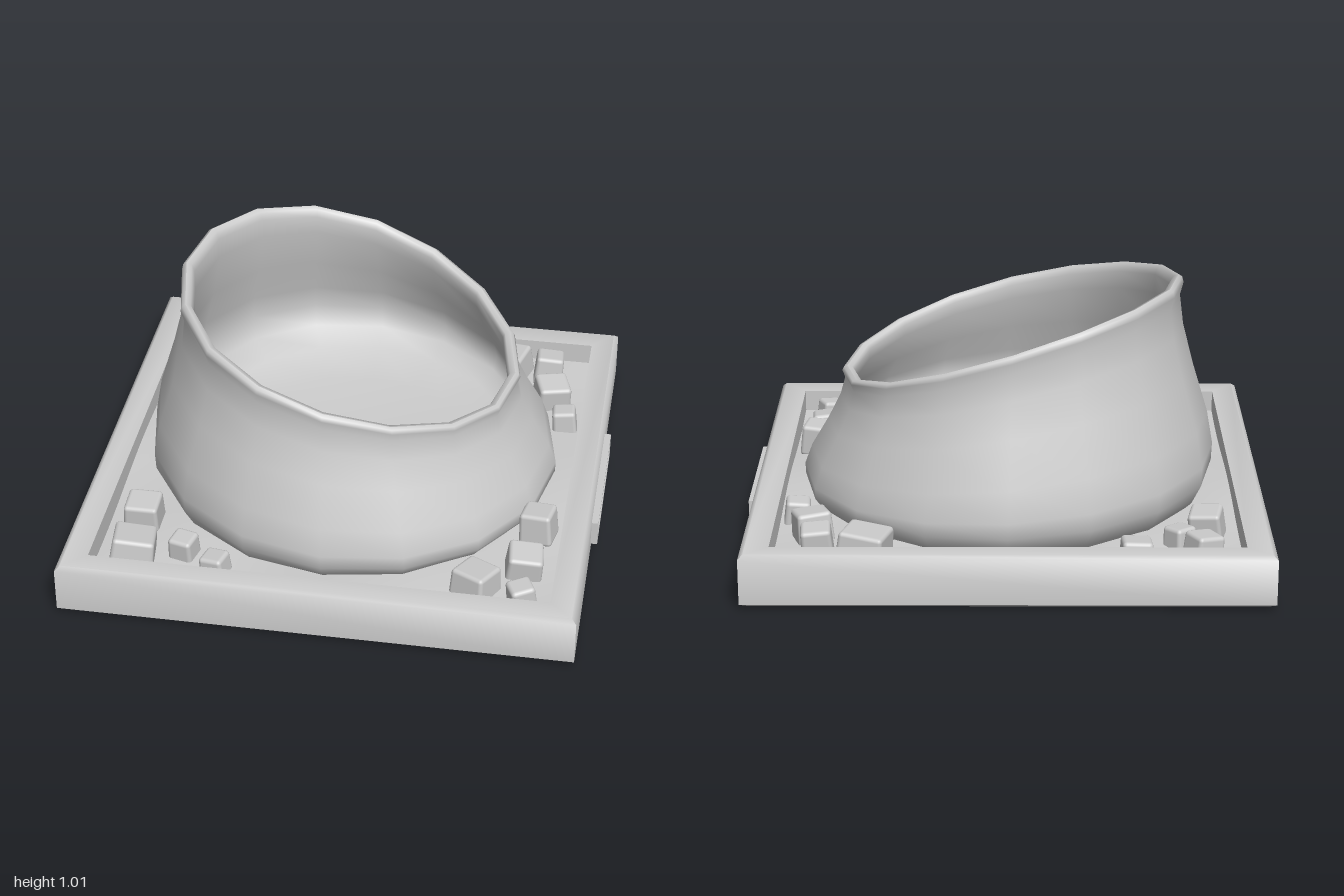
import * as THREE from 'three';
import { mergeVertices, toCreasedNormals } from 'three/addons/utils/BufferGeometryUtils.js';
import { RoundedBoxGeometry } from 'three/addons/geometries/RoundedBoxGeometry.js';

const CX = -0.014; // middle of the base; the plate on the side makes up the rest

export function createModel() {
  const model = new THREE.Group();
  const material = new THREE.MeshStandardMaterial({ color: 0xcccccc });

  function add(name, geometry, x = 0, y = 0, z = 0, parent = model) {
    const mesh = new THREE.Mesh(geometry, material);
    mesh.name = name;
    mesh.position.set(x, y, z);
    parent.add(mesh);
    return mesh;
  }

  const toPoints = (profile) => profile.map(([r, y]) => new THREE.Vector2(r, y));

  // Base: a four-sided lathe gives the slab, soft outer edges and raised border in one piece
  const base = new THREE.LatheGeometry(toPoints([
    [0, 0], [0.88, 0], [0.955, 0.004], [0.986, 0.022], [0.986, 0.198], [0.968, 0.214],
    [0.88, 0.208], [0.88, 0.06],
  ]), 4, Math.PI / 4);
  base.scale(Math.SQRT2, 1, Math.SQRT2);
  add('base', toCreasedNormals(base, 0.9), CX, 0, 0);

  // Ground inside the border, rising gently towards the pot
  const ground = new THREE.PlaneGeometry(1.762, 1.762, 24, 24).rotateX(-Math.PI / 2);
  const gp = ground.attributes.position;
  for (let i = 0; i < gp.count; i++) {
    const x = gp.getX(i), z = gp.getZ(i);
    const rise = 1 - THREE.MathUtils.smoothstep(Math.hypot(x, z), 0.8, 1.2);
    gp.setY(i, 0.115 + 0.015 * rise + 0.01 * Math.sin(7 * x + 2) * Math.cos(6 * z));
  }
  ground.computeVertexNormals();
  add('ground', ground, CX, 0, 0);

  // Pot: profiles of [radius, t], where t runs from a flat level up to the slanted, wavy rim
  const rimHeight = (x, z) =>
    0.817 - 0.285 * x - 0.06 * z + 0.04 * z * z - 0.02 * x * x + 0.05 * x * z;
  function slantedLathe(profile, low) {
    const g = new THREE.LatheGeometry(toPoints(profile), 16);
    const p = g.attributes.position;
    for (let i = 0; i < p.count; i++) {
      const t = p.getY(i);
      // the slant is taken at the rim radius so that it does not grow with the belly
      const r = Math.hypot(p.getX(i), p.getZ(i)) || 1;
      const top = rimHeight(p.getX(i) * 0.66 / r, p.getZ(i) * 0.66 / r);
      p.setY(i, low + t * (top - low));
      p.setX(i, p.getX(i) - 0.01 - 0.018 * t);
      p.setZ(i, p.getZ(i) - 0.006);
    }
    // smooth normals across the seam
    g.deleteAttribute('uv');
    g.deleteAttribute('normal');
    const merged = mergeVertices(g, 1e-4);
    merged.computeVertexNormals();
    return merged;
  }
  const pot = new THREE.Group();
  pot.name = 'pot';
  model.add(pot);
  add('potOuterWall', slantedLathe([
    [0.71, 0], [0.775, 0.07], [0.81, 0.15], [0.812, 0.23], [0.785, 0.38], [0.72, 0.6],
    [0.675, 0.78], [0.658, 0.91], [0.67, 0.965], [0.664, 0.99], [0.65, 1],
  ], 0.09), 0, 0, 0, pot);
  add('potInnerBowl', slantedLathe([
    [0.65, 1], [0.63, 0.99], [0.62, 0.95], [0.622, 0.85], [0.66, 0.62], [0.71, 0.42],
    [0.725, 0.29], [0.705, 0.17], [0.63, 0.08], [0.45, 0.025], [0, 0],
  ], 0.21), 0, 0, 0, pot);

  // Loose stones: x, z, size, turn in degrees, top height
  const stones = [
    [-0.74, -0.79, 0.12, 30, 0.23], [-0.66, -0.67, 0.10, 40, 0.21],
    [-0.77, -0.53, 0.13, -12, 0.225], [-0.49, -0.81, 0.12, 3, 0.215],
    [0.52, -0.75, 0.18, -15, 0.23], [0.70, -0.74, 0.12, 4, 0.24],
    [0.73, -0.56, 0.14, 18, 0.23], [0.80, -0.39, 0.10, 4, 0.21],
    [0.77, 0.37, 0.13, -10, 0.25], [0.74, 0.59, 0.14, 5, 0.22],
    [0.57, 0.74, 0.15, -28, 0.225], [0.75, 0.78, 0.10, 25, 0.205],
    [-0.76, 0.53, 0.14, 0, 0.24], [-0.75, 0.75, 0.17, 8, 0.235],
    [-0.56, 0.71, 0.10, -15, 0.22], [-0.42, 0.79, 0.10, -15, 0.205],
  ];
  const stoneGroup = new THREE.Group();
  stoneGroup.name = 'stones';
  model.add(stoneGroup);
  stones.forEach(([x, z, size, turn, top], i) => {
    const h = 0.13;
    const g = new RoundedBoxGeometry(size, h, size * 0.97, 2, 0.016);
    const p = g.attributes.position;
    // narrow each stone a little towards the top
    for (let k = 0; k < p.count; k++) {
      const s = 0.98 - 0.6 * p.getY(k);
      p.setX(k, p.getX(k) * s);
      p.setZ(k, p.getZ(k) * s);
    }
    const stone = add('stone', g, x, top - h / 2 - 0.004, z, stoneGroup);
    stone.rotation.set(0.12 * Math.sin(i * 2.3), THREE.MathUtils.degToRad(turn), 0.12 * Math.cos(i * 1.7));
  });

  // Blank plate on the left side: raised border around a sunken panel
  const plate = new THREE.Group();
  plate.name = 'sidePlate';
  plate.position.set(0.966, 0.112, 0.003);
  plate.rotation.y = Math.PI / 2;
  model.add(plate);
  const rect = (path, a, b) => path.moveTo(-a, -b).lineTo(a, -b).lineTo(a, b).lineTo(-a, b).closePath();
  const border = rect(new THREE.Shape(), 0.306, 0.05);
  border.holes.push(rect(new THREE.Path(), 0.287, 0.034));
  add('plateBorder', new THREE.ExtrudeGeometry(border, { depth: 0.032, bevelEnabled: false }), 0, 0, 0, plate);
  add('platePanel', new THREE.BoxGeometry(0.58, 0.076, 0.024), 0, 0, 0.012, plate);

  return model;
}
